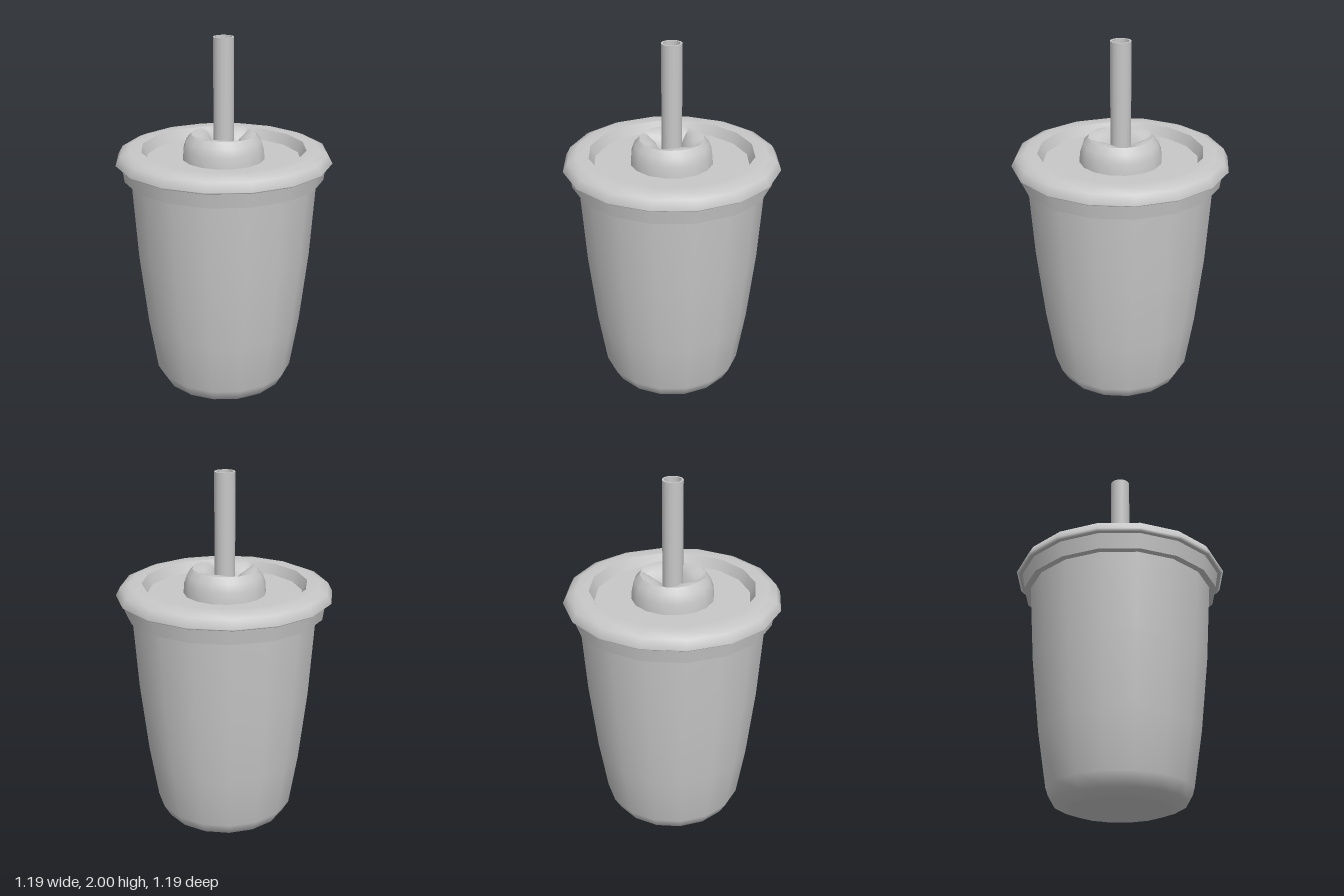
import * as THREE from 'three';
import { mergeGeometries, mergeVertices, toCreasedNormals } from 'three/addons/utils/BufferGeometryUtils.js';

const SIDES = 16;
const grey = new THREE.MeshStandardMaterial({ color: 0xc8c8c8 });
grey.name = 'plain grey';

const lathe = (profile, sides = SIDES) =>
  new THREE.LatheGeometry(profile.map(([r, y]) => new THREE.Vector2(r, y)), sides);

// Turned part: each profile is smooth in itself, with a sharp edge between profiles
function turned(name, ...profiles) {
  const mesh = new THREE.Mesh(mergeGeometries(profiles.map((p) => lathe(p))), grey);
  mesh.name = name;
  return mesh;
}

// Domed straw seal: a ring whose inner edge splits into four puffed flaps
function strawSeal() {
  const outer = [[0.226, 1.34], [0.221, 1.4], [0.205, 1.445], [0.177, 1.478]];
  const rows = outer.length + 4;
  const profile = [...outer, [0.15, 1.48], [0.13, 1.47], [0.11, 1.44], [0.1, 1.395]];
  const segments = 32;
  const geo = lathe(profile, segments);
  const pos = geo.attributes.position;
  const step = (Math.PI * 2) / SIDES;
  for (let i = 0; i < pos.count; i++) {
    const row = i % rows;
    const angle = (Math.floor(i / rows) / segments) * Math.PI * 2;
    let [r, y] = profile[row];
    // keep the outside sixteen-sided
    const facet = Math.cos(step / 2) / Math.cos((angle % step) - step / 2);
    if (row < outer.length) {
      r *= facet;
    } else {
      // flaps reach inward on the diagonals and sink into slits on the axes
      const puff = Math.pow(Math.abs(Math.sin(2 * angle)), 0.6);
      const t = (row - outer.length + 1) / 4;
      const inner = 0.1 - 0.035 * puff;
      r = THREE.MathUtils.lerp(0.177 * facet, inner, Math.min(1, t * 1.1));
      const slit = 1.478 - 0.075 * Math.pow(t, 1.1);
      const flap = 1.48 - 0.075 * Math.pow(t, 3);
      y = THREE.MathUtils.lerp(slit, flap, puff);
    }
    pos.setXYZ(i, r * Math.sin(angle), y, r * Math.cos(angle));
  }
  geo.deleteAttribute('normal');
  geo.deleteAttribute('uv');
  const mesh = new THREE.Mesh(toCreasedNormals(mergeVertices(geo, 1e-4), 0.75), grey);
  mesh.name = 'strawSeal';
  return mesh;
}

export function createModel() {
  const model = new THREE.Group();
  model.name = 'lidded cup with straw';

  // Tapered cup with a rounded foot and flat base
  model.add(turned('cup',
    [[0, 0], [0.27, 0]],
    [[0.27, 0], [0.35, 0.03], [0.39, 0.1], [0.438, 0.4], [0.482, 0.8], [0.511, 1.24], [0.514, 1.32]]));

  // Lid: skirt, rolled rim and recessed top
  const lid = new THREE.Group();
  lid.name = 'lid';
  lid.add(turned('skirt',
    [[0.5, 1.24], [0.547, 1.24]],
    [[0.547, 1.24], [0.56, 1.325]]));
  lid.add(turned('rim',
    [[0.55, 1.325], [0.58, 1.325]],
    [[0.58, 1.325], [0.593, 1.335], [0.568, 1.382], [0.52, 1.402], [0.452, 1.4]],
    [[0.452, 1.4], [0.425, 1.342]]));
  lid.add(turned('recessedTop', [[0.425, 1.342], [0, 1.342]]));
  lid.add(strawSeal());
  lid.add(turned('sealFloor', [[0.12, 1.4], [0, 1.4]]));
  model.add(lid);

  // Hollow straw running down into the cup
  model.add(turned('straw',
    [[0.056, 0.1], [0.056, 2]],
    [[0.056, 2], [0.045, 2]],
    [[0.045, 2], [0.045, 0.1]]));

  return model;
}
